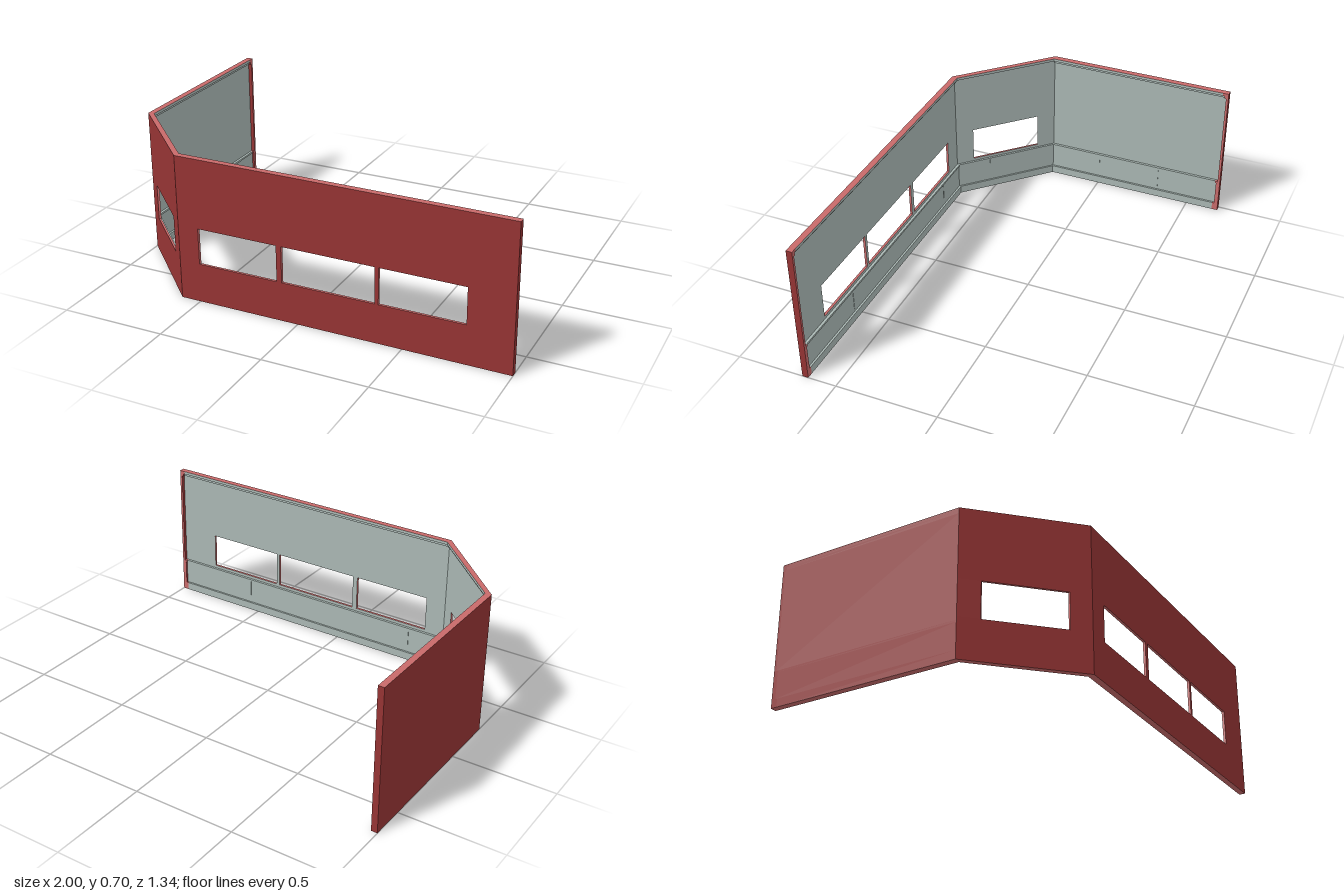
import * as THREE from 'three';

const HEIGHT = 0.7, DEPTH = 0.03;
const SILL = 0.19, HEAD = 0.365;

// Plan corners of the outside and inside wall lines, as [x, z]
const OUTER = [[-1, -0.67], [-1, 0.268], [-0.597, 0.67], [1, 0.67]];
const INNER = [[-0.97, -0.67], [-0.97, 0.264], [-0.591, 0.64], [1, 0.64]];

// Horizontal bands of the wall section: bottom, top, thickness
const BANDS = [
  ['baseboard', 0, 0.04, 0.03],
  ['wainscot', 0.04, 0.165, 0.02],
  ['rail', 0.165, 0.175, 0.025],
  ['panel', 0.175, 0.672, 0.012],
  ['cornice', 0.672, 0.686, 0.02],
  ['crown', 0.686, HEIGHT, 0.03],
];

// Windows and seams are given along each wall, from 0 to 1
const frontU = x => (x + 0.597) / 1.597;
const diagonalU = x => (x + 1) / 0.403;
const sideU = z => (z + 0.67) / 0.938;
const WALLS = [
  { name: 'sideWall', windows: [], seams: [sideU(-0.33), sideU(0)], lip: 'start' },
  { name: 'diagonalWall', windows: [[diagonalU(-0.93), diagonalU(-0.665)]], seams: [0.67] },
  {
    name: 'frontWall', lip: 'end', seams: [frontU(-0.41), frontU(0.55)],
    windows: [[-0.495, -0.1], [-0.075, 0.372], [0.39, 0.79]].map(w => w.map(frontU)),
  },
];

const materials = {
  outside: new THREE.MeshStandardMaterial({ color: 0x963434 }),
  core: new THREE.MeshStandardMaterial({ color: 0xc86a6a }),
  lining: new THREE.MeshStandardMaterial({ color: 0xaab8b4 }),
};

// Block between two positions along a wall; t0 and t1 are distances from its outer face
function block(index, name, u0, u1, y0, y1, t1, { t0 = 0, inside = 'lining', ledge = 'lining', ends = 'core' } = {}) {
  const point = (u, t, y) => {
    const at = (line, k) => THREE.MathUtils.lerp(line[index][k], line[index + 1][k], u);
    const xz = [0, 1].map(k => THREE.MathUtils.lerp(at(OUTER, k), at(INNER, k), t / DEPTH));
    return [xz[0], y, xz[1]];
  };
  const ring = y => [point(u0, t0, y), point(u1, t0, y), point(u1, t1, y), point(u0, t1, y)];
  const [a, b, c, d] = ring(y0), [e, f, g, h] = ring(y1);
  const faces = [
    [t0 > 0 ? 'lining' : 'outside', a, b, f, e],
    [inside, c, d, h, g],
    [ends, d, a, e, h],
    [ends, b, c, g, f],
    [y1 === HEIGHT ? 'core' : ledge, e, f, g, h],
    [y0 === 0 ? 'core' : ledge, a, d, c, b],
  ];
  const geometry = new THREE.BufferGeometry();
  const positions = [], used = [];
  faces.forEach(([key, p, q, r, s], i) => {
    positions.push(...p, ...q, ...r, ...p, ...r, ...s);
    if (!used.includes(key)) used.push(key);
    geometry.addGroup(i * 6, 6, used.indexOf(key));
  });
  geometry.setAttribute('position', new THREE.Float32BufferAttribute(positions, 3));
  geometry.computeVertexNormals();
  const mesh = new THREE.Mesh(geometry, used.map(key => materials[key]));
  mesh.name = name;
  return mesh;
}

function createWall({ name, windows, seams, lip }, index) {
  const wall = new THREE.Group();
  wall.name = name;
  const add = (...args) => wall.add(block(index, ...args));
  const length = Math.hypot(
    OUTER[index + 1][0] - OUTER[index][0], OUTER[index + 1][1] - OUTER[index][1]);

  for (const [band, y0, y1, t] of BANDS) {
    // Free ends close with a full-depth post
    const post = t / length;
    const start = lip === 'start' ? post : 0, end = lip === 'end' ? 1 - post : 1;
    const postLook = { inside: 'core', ledge: 'core', ends: 'outside' };
    if (lip === 'start') add('endPost', 0, start, y0, y1, DEPTH, postLook);
    if (lip === 'end') add('endPost', end, 1, y0, y1, DEPTH, postLook);

    if (band !== 'panel' || !windows.length) {
      add(band, start, end, y0, y1, t);
      continue;
    }
    // Panel around the windows: below, above and the piers between
    add('panelBelowWindows', start, end, y0, SILL, t, { ledge: 'core' });
    add('panelAboveWindows', start, end, HEAD, y1, t, { ledge: 'core' });
    const edges = [start, ...windows.flat(), end];
    for (let i = 0; i < edges.length; i += 2) {
      add('windowPier', edges[i], edges[i + 1], SILL, HEAD, t);
    }
  }

  // Thin upright battens on the wainscot
  for (const u of seams) {
    const half = 0.002 / length;
    add('wainscotBatten', u - half, u + half, 0.055, 0.165, 0.022, { t0: 0.019, ends: 'lining' });
  }
  return wall;
}

export function createModel() {
  const model = new THREE.Group();
  model.name = 'angledWall';
  WALLS.forEach((wall, index) => model.add(createWall(wall, index)));
  return model;
}
